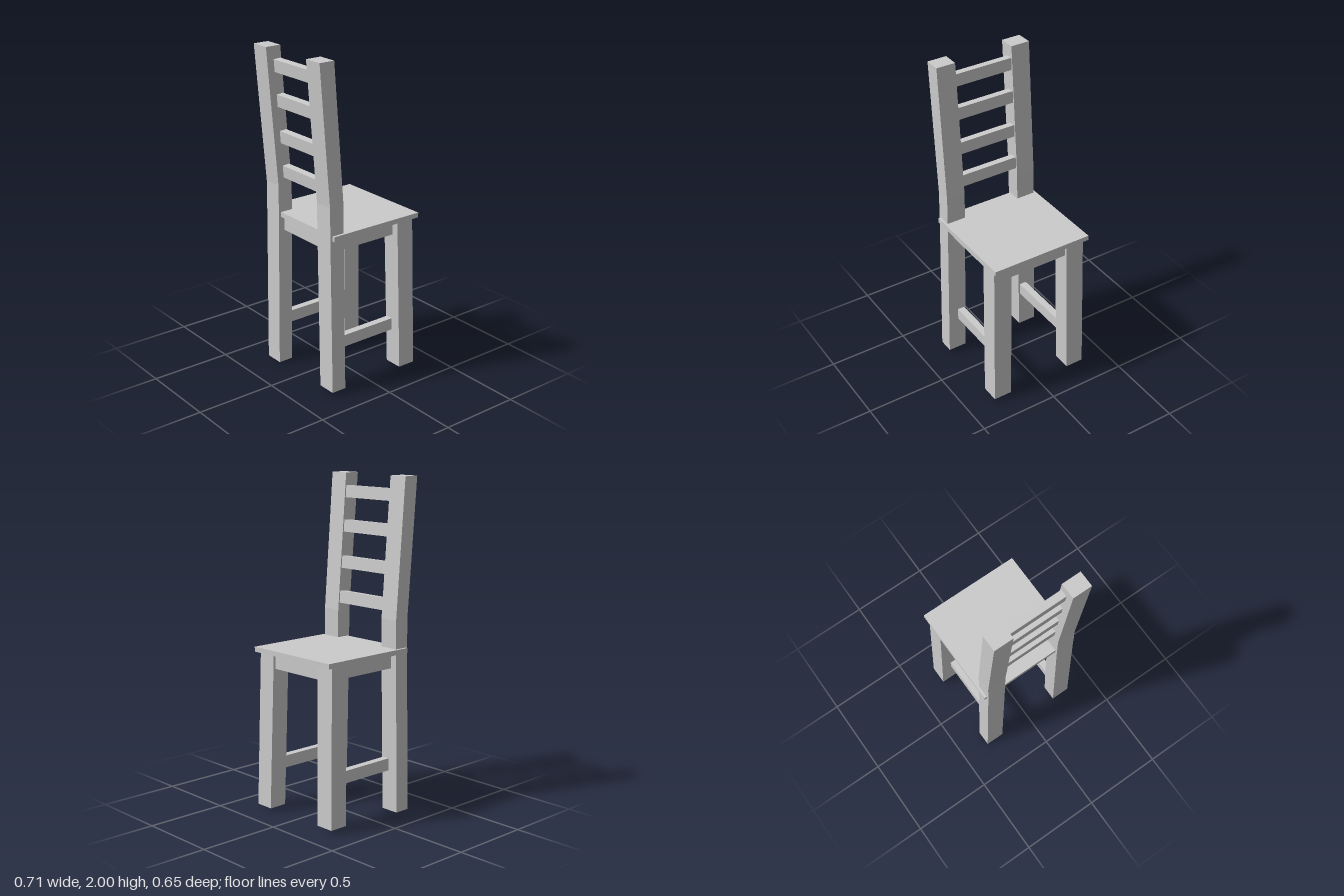
import * as THREE from 'three';

const material = new THREE.MeshStandardMaterial({ color: 0xcccccc, flatShading: true });

function add(group, name, geometry) {
  const mesh = new THREE.Mesh(geometry, material);
  mesh.name = name;
  group.add(mesh);
  return mesh;
}

// Box given by its limits on each axis
function block(group, name, [x0, x1], [y0, y1], [z0, z1]) {
  const mesh = add(group, name, new THREE.BoxGeometry(x1 - x0, y1 - y0, z1 - z0));
  mesh.position.set((x0 + x1) / 2, (y0 + y1) / 2, (z0 + z1) / 2);
  return mesh;
}

// Four-sided bar through rectangular sections [y, x0, x1, z0, z1], bottom to top;
// side = -1 mirrors it in z
function bar(group, name, sections, side) {
  const rings = sections.map(([y, x0, x1, z0, z1]) => {
    const [a, b] = side > 0 ? [z0, z1] : [-z1, -z0];
    return [[x0, y, b], [x1, y, b], [x1, y, a], [x0, y, a]];
  });
  const positions = [];
  const quad = (a, b, c, d) => positions.push(...a, ...b, ...c, ...a, ...c, ...d);
  for (let i = 0; i < rings.length - 1; i++) {
    const low = rings[i], high = rings[i + 1];
    for (let k = 0; k < 4; k++) {
      const n = (k + 1) % 4;
      quad(low[k], low[n], high[n], high[k]);
    }
  }
  const [p, q, r, s] = rings[0];
  quad(s, r, q, p);
  quad(...rings[rings.length - 1]);
  const geometry = new THREE.BufferGeometry();
  geometry.setAttribute('position', new THREE.Float32BufferAttribute(positions, 3));
  geometry.computeVertexNormals();
  return add(group, name, geometry);
}

export function createModel() {
  const chair = new THREE.Group();
  chair.name = 'chair';

  // Seat board and the solid frame under it
  block(chair, 'seat', [-0.275, 0.355], [0.97, 1.0], [-0.322, 0.322]);
  block(chair, 'seatFrame', [-0.25, 0.308], [0.88, 0.97], [-0.265, 0.265]);

  for (const side of [1, -1]) {
    const label = side > 0 ? 'Left' : 'Right';

    // Back leg splays outward below the seat and leans back above it
    bar(chair, 'backPost' + label, [
      [side > 0 ? 0.02 : 0, -0.29, -0.195, 0.207, 0.325],
      [0.98, -0.29, -0.195, 0.187, 0.306],
      [1.17, -0.29, -0.195, 0.185, 0.304],
      [2.0, -0.358, -0.26, 0.185, 0.304],
    ], side);

    // Front leg splays outward and forward
    bar(chair, 'frontLeg' + label, [
      [side > 0 ? 0.02 : 0.025, 0.228, 0.342, 0.208, 0.325],
      [0.975, 0.205, 0.32, 0.19, 0.308],
    ], side);

    // Low side rail between front and back legs
    const z = [0.21, 0.255].map((v) => v * side).sort((a, b) => a - b);
    block(chair, 'sideRail' + label, [-0.22, 0.25], [0.25, 0.325], z);
  }

  // Back slats follow the lean of the posts
  const lean = Math.atan(0.065 / 0.83);
  for (const y of [1.25, 1.463, 1.682, 1.888]) {
    const front = -0.203 - (y - 1.17) * Math.tan(lean);
    const slat = add(chair, 'backSlat', new THREE.BoxGeometry(0.045, 0.074, 0.4));
    slat.position.set(front - 0.0225, y, 0);
    slat.rotation.z = lean;
  }
  return chair;
}
